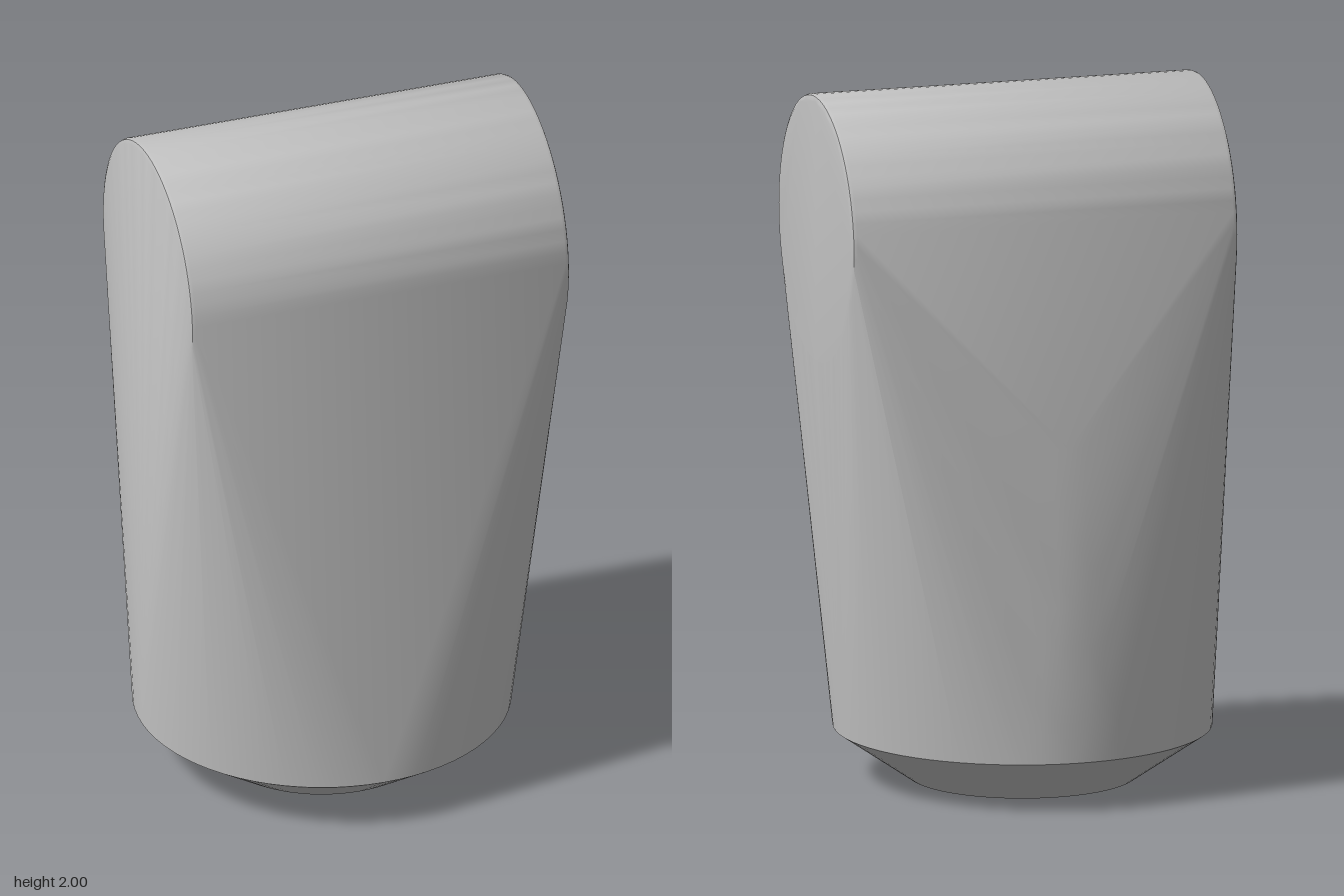
import * as THREE from 'three';
import { toCreasedNormals } from 'three/addons/utils/BufferGeometryUtils.js';
import { ConvexGeometry } from 'three/addons/geometries/ConvexGeometry.js';

const CX = -0.0375;  // axis of the round foot
const BASE_Y = 0.145;
const BASE_R = 0.5375;

export function createModel() {
  const group = new THREE.Group();
  group.name = 'wedgeKnob';
  const grey = new THREE.MeshStandardMaterial({ color: 0xc0c0c0 });
  grey.name = 'plain grey';
  const points = [];

  // Round lower rim of the body
  const N = 72;
  for (let i = 0; i < N; i++) {
    const a = (i / N) * Math.PI * 2;
    points.push(new THREE.Vector3(CX + BASE_R * Math.cos(a), BASE_Y, BASE_R * Math.sin(a)));
  }

  // Horizontal cylinder across the top, with finely rounded end edges
  const ends = [[-0.562, 0.375], [-0.558, 0.386], [-0.548, 0.39], [0.558, 0.39], [0.568, 0.386], [0.572, 0.375]];
  for (const [x, r] of ends) {
    for (let i = 0; i < N; i++) {
      const a = (i / N) * Math.PI * 2;
      points.push(new THREE.Vector3(x, 1.61 + r * Math.sin(a), r * Math.cos(a)));
    }
  }

  // Gentle bulge down the back
  for (let k = 1; k <= 8; k++) {
    const t = k / 8;
    const y = BASE_Y + 0.9 * t;
    const shift = 0.055 * t * t;
    for (let j = -4; j <= 4; j++) {
      const a = j * 0.085;
      points.push(new THREE.Vector3(CX + BASE_R * Math.sin(a), y, shift - BASE_R * Math.cos(a)));
    }
  }

  const body = new THREE.Mesh(toCreasedNormals(new ConvexGeometry(points), 0.6), grey);
  body.name = 'body';
  group.add(body);

  // Tapered foot
  const foot = new THREE.Mesh(new THREE.CylinderGeometry(BASE_R, 0.325, BASE_Y, N), grey);
  foot.name = 'foot';
  foot.position.set(CX, BASE_Y / 2, 0);
  group.add(foot);

  return group;
}
